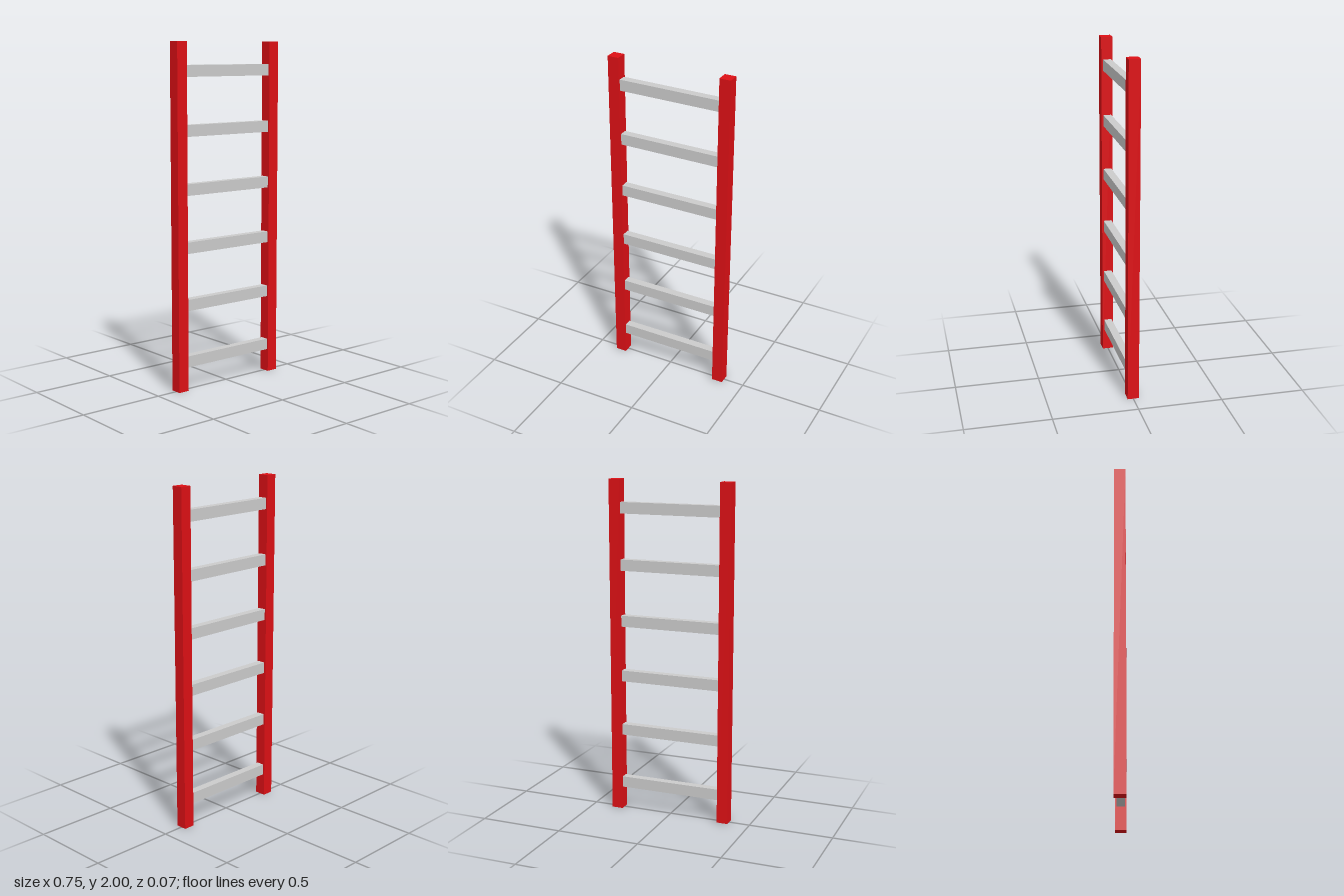
import * as THREE from 'three';

const RAIL = 0.067;      // square section of the side rails
const RAIL_X = 0.34;     // rail centre, either side
const RUNGS = 6;

export function createModel() {
  const model = new THREE.Group();
  model.name = 'ladder';
  const red = new THREE.MeshStandardMaterial({ color: 0xdd1015 });
  const grey = new THREE.MeshStandardMaterial({ color: 0xcccccc });

  // Side rails
  const railGeometry = new THREE.BoxGeometry(RAIL, 2, RAIL);
  for (const side of [-1, 1]) {
    const rail = new THREE.Mesh(railGeometry, red);
    rail.name = side > 0 ? 'leftRail' : 'rightRail';
    rail.position.set(side * RAIL_X, 1, 0);
    model.add(rail);
  }

  // Evenly spaced rungs between the rails' inner faces
  const rungGeometry = new THREE.BoxGeometry(2 * RAIL_X - RAIL, 0.066, 0.047);
  for (let i = 0; i < RUNGS; i++) {
    const rung = new THREE.Mesh(rungGeometry, grey);
    rung.name = `rung${i + 1}`;
    rung.position.y = 0.169 + i / 3;
    model.add(rung);
  }
  return model;
}
